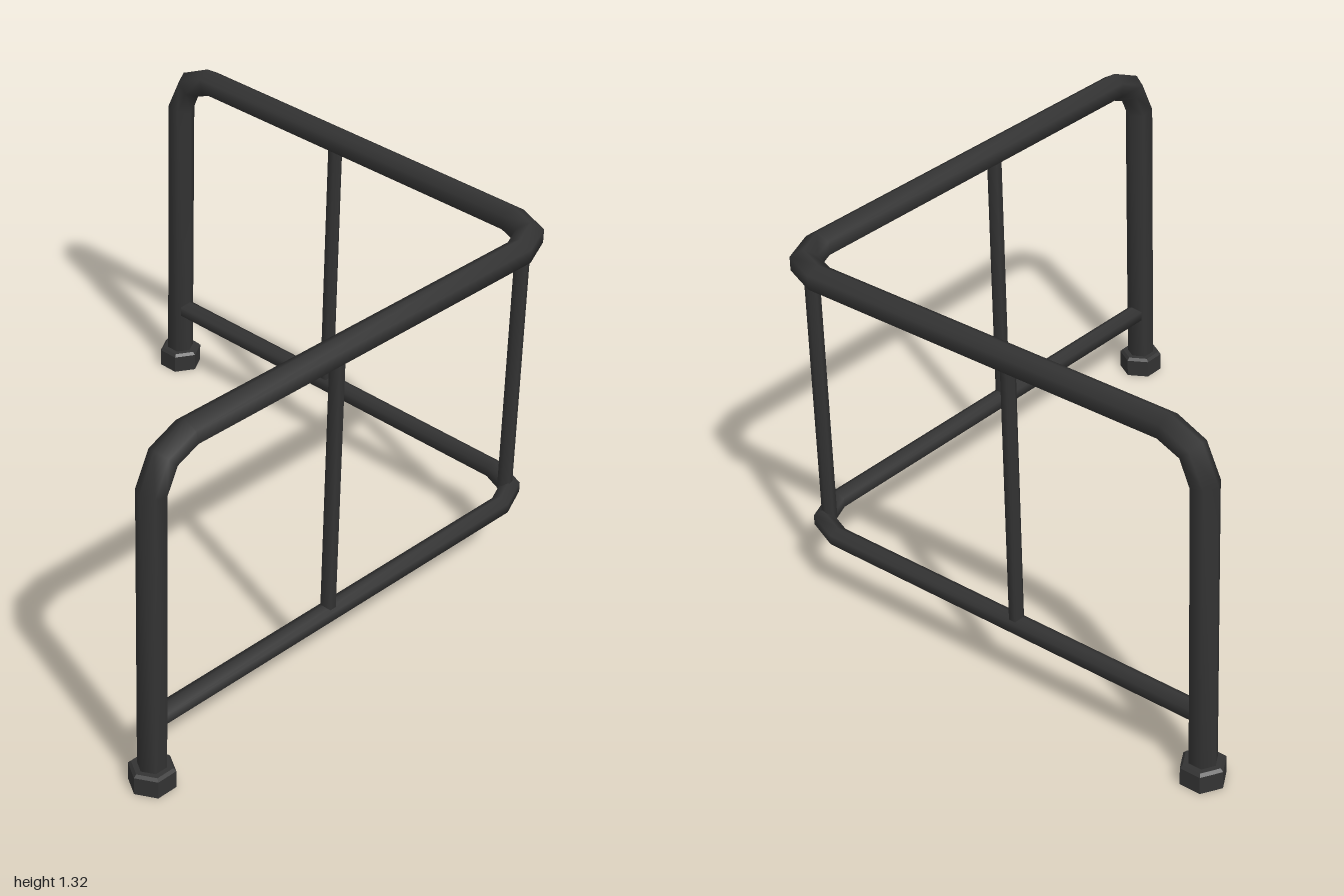
import * as THREE from 'three';

const SIDES = 6;
const rad = THREE.MathUtils.degToRad;

// Widening that keeps the tube thickness even at a mitred bend
const mitre = (a) => (a === 45 ? 1.07 : a % 90 === 0 ? 1 : 1.02);

// Hexagonal tube swept along stations [x, y, z, heading, pitch] (degrees; heading 0 = +x, 90 = -z)
function sweep(stations, radius) {
  const pos = [], index = [];
  stations.forEach(([x, y, z, heading, pitch], i) => {
    const h = rad(heading), p = rad(pitch);
    const u = new THREE.Vector3(-Math.sin(p) * Math.cos(h), Math.cos(p), Math.sin(p) * Math.sin(h));
    const v = new THREE.Vector3(Math.sin(h), 0, Math.cos(h));
    for (let j = 0; j < SIDES; j++) {
      const a = (j / SIDES) * Math.PI * 2;
      const q = new THREE.Vector3(x, y, z)
        .addScaledVector(u, radius * Math.cos(a) * mitre(pitch))
        .addScaledVector(v, radius * Math.sin(a) * mitre(heading));
      pos.push(q.x, q.y, q.z);
      if (i < stations.length - 1) {
        const k = i * SIDES + j, n = i * SIDES + ((j + 1) % SIDES);
        index.push(k, n, k + SIDES, n, n + SIDES, k + SIDES);
      }
    }
  });
  const geo = new THREE.BufferGeometry();
  geo.setAttribute('position', new THREE.Float32BufferAttribute(pos, 3));
  geo.setIndex(index);
  geo.computeVertexNormals();
  return geo;
}

export function createModel() {
  const group = new THREE.Group();
  const metal = new THREE.MeshStandardMaterial({ color: 0x333333 });
  metal.name = 'dark metal';

  const add = (name, geo, x = 0, y = 0, z = 0) => {
    const mesh = new THREE.Mesh(geo, metal);
    mesh.name = name;
    mesh.position.set(x, y, z);
    group.add(mesh);
    return mesh;
  };

  const LX = -0.92, FZ = 0.88, RX = 0.928, BZ = -0.865;
  const TOP = 1.268, LOW = 0.255;

  // Rounded corner shared by both rails
  const corner = (y) => [
    [0.77, y, FZ, 12, 0],
    [0.882, y, 0.832, 45, 0],
    [RX, y, 0.72, 78, 0],
  ];

  // Main tube: left leg, top rail around the corner, back leg
  add('topRailAndLegs', sweep([
    [LX, 0.02, FZ, 0, 90],
    [LX, 1.12, FZ, 0, 78],
    [-0.87, 1.225, FZ, 0, 45],
    [-0.77, TOP, FZ, 0, 12],
    ...corner(TOP),
    [RX, TOP, -0.72, 90, -12],
    [RX, 1.225, -0.818, 90, -45],
    [RX, 1.12, BZ, 90, -78],
    [RX, 0.02, BZ, 90, -90],
  ], 0.05));

  // Lower rail
  add('lowerRail', sweep([
    [LX, LOW, FZ, 0, 0],
    ...corner(LOW),
    [RX, LOW, BZ, 90, 0],
  ], 0.036));

  // Upright bars between the rails
  const bar = (name, x, z, turn) => {
    const geo = new THREE.CylinderGeometry(0.026, 0.026, TOP - LOW, SIDES, 1, true);
    add(name, geo, x, (TOP + LOW) / 2, z).rotation.y = turn;
  };
  bar('frontBar', -0.11, FZ, Math.PI / 2);
  bar('cornerBar', 0.862, 0.823, Math.PI / 4);
  bar('sideBar', RX, -0.09, 0);

  // Hexagonal feet with a small bevel on top
  const foot = (name, x, z, turn) => {
    const profile = [[0, 0], [0.08, 0], [0.08, 0.065], [0.07, 0.075], [0, 0.075]];
    const geo = new THREE.LatheGeometry(profile.map(([r, y]) => new THREE.Vector2(r, y)), SIDES).toNonIndexed();
    geo.computeVertexNormals();
    add(name, geo, x, 0, z).rotation.y = turn;
  };
  foot('frontFoot', LX, FZ, Math.PI / 2);
  foot('backFoot', RX, BZ, 0);

  return group;
}
